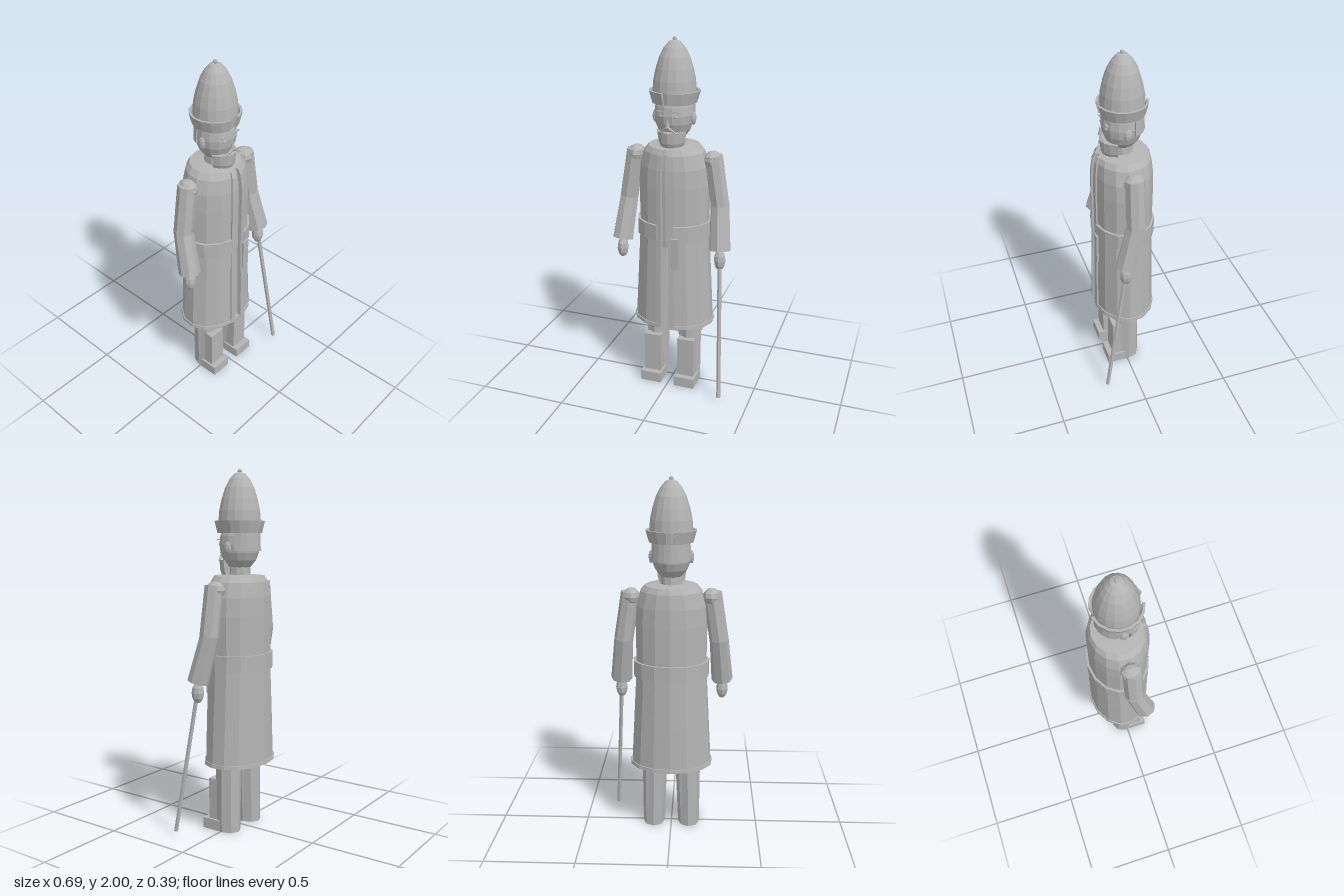
import * as THREE from 'three';

const grey = new THREE.MeshStandardMaterial({ color: 0xb4b4b4, flatShading: true, side: THREE.DoubleSide });
grey.name = 'plain grey';
const CZ = -0.017; // depth of the body's axis

// Solid curved shell: rows of [y, rx, rz] from the bottom up, swept from angle a0 to a1 (0 = front, + = +x)
function shell(rows, t, a0, a1, n) {
  const p = [];
  const at = (i, j, d) => {
    const a = a0 + (a1 - a0) * j / n, [y, rx, rz] = rows[i];
    return [(rx - d) * Math.sin(a), y, CZ + (rz - d) * Math.cos(a)];
  };
  const quad = (a, b, c, d) => p.push(...a, ...b, ...c, ...a, ...c, ...d);
  const top = rows.length - 1;
  for (let j = 0; j < n; j++) {
    for (let i = 0; i < top; i++) {
      quad(at(i, j, 0), at(i, j + 1, 0), at(i + 1, j + 1, 0), at(i + 1, j, 0));
      quad(at(i, j + 1, t), at(i, j, t), at(i + 1, j, t), at(i + 1, j + 1, t));
    }
    quad(at(0, j, t), at(0, j + 1, t), at(0, j + 1, 0), at(0, j, 0));
    quad(at(top, j, 0), at(top, j + 1, 0), at(top, j + 1, t), at(top, j, t));
  }
  for (let i = 0; i < top; i++) {
    quad(at(i, 0, t), at(i, 0, 0), at(i + 1, 0, 0), at(i + 1, 0, t));
    quad(at(i, n, 0), at(i, n, t), at(i + 1, n, t), at(i + 1, n, 0));
  }
  const g = new THREE.BufferGeometry();
  g.setAttribute('position', new THREE.Float32BufferAttribute(p, 3));
  g.computeVertexNormals();
  return g;
}

const grow = (rows, d) => rows.map(([y, rx, rz]) => [y, rx + d, rz + d]);

// Tapered rod between two points
function rod(a, b, ra, rb, sides) {
  const from = new THREE.Vector3(...a), to = new THREE.Vector3(...b);
  const dir = to.clone().sub(from);
  const g = new THREE.CylinderGeometry(rb, ra, dir.length(), sides);
  g.applyQuaternion(new THREE.Quaternion().setFromUnitVectors(new THREE.Vector3(0, 1, 0), dir.normalize()));
  const m = from.add(to).multiplyScalar(0.5);
  return g.translate(m.x, m.y, m.z);
}

function ball(x, y, z, rx, ry, rz, w = 8, h = 6) {
  return new THREE.SphereGeometry(1, w, h).scale(rx, ry, rz).translate(x, y, z);
}

const box = (w, h, d, x, y, z) => new THREE.BoxGeometry(w, h, d).translate(x, y, z);

export function createModel() {
  const model = new THREE.Group();
  model.name = 'figure';
  const add = (name, geometry, parent = model) => {
    const mesh = new THREE.Mesh(geometry, grey);
    mesh.name = name;
    parent.add(mesh);
    return mesh;
  };
  const GAP = 0.15, END = Math.PI * 2 - GAP;

  // Long open coat with hem, plackets and belt
  const coat = [
    [0.4, 0.229, 0.172], [0.65, 0.215, 0.169], [0.92, 0.2, 0.162], [1.0, 0.198, 0.162],
    [1.22, 0.2, 0.163], [1.32, 0.192, 0.161], [1.4, 0.168, 0.152], [1.43, 0.142, 0.138],
  ];
  add('coat', shell(coat, 0.012, GAP, END, 14));
  add('coatHem', shell([[0.39, 0.236, 0.18], [0.41, 0.234, 0.178]], 0.018, GAP, END, 14));
  add('belt', shell([[0.92, 0.212, 0.174], [1.01, 0.212, 0.174]], 0.016, GAP + 0.08, END - 0.08, 14));
  add('beltTail', box(0.042, 0.18, 0.012, 0.058, 0.855, 0.152));
  for (const s of [1, -1]) {
    const [a, b] = s > 0 ? [0.1, 0.24] : [-0.24, -0.1];
    add('placket', shell(grow(coat, 0.007), 0.022, a, b, 1));
  }

  // Body beneath the coat, closed at the shoulders
  const body = [[0.87, 0.0, 0.0], [0.88, 0.19, 0.15], ...grow(coat.slice(2), -0.01),
    [1.435, 0.09, 0.09], [1.44, 0.0, 0.0]];
  add('body', shell(body, 0, 0, Math.PI * 2, 16));

  // Neck, head and face
  add('neck', new THREE.CylinderGeometry(0.055, 0.062, 0.12, 10).translate(0, 1.47, CZ));
  add('head', ball(0, 1.6, CZ, 0.108, 0.145, 0.112, 14, 10));
  add('hair', shell([[1.565, 0.112, 0.117], [1.66, 0.108, 0.113]], 0.02, 1.9, Math.PI * 2 - 1.9, 8));
  add('beard', shell([[1.425, 0.07, 0.105], [1.455, 0.082, 0.118], [1.515, 0.09, 0.122]], 0.05, -1.15, 1.15, 6));
  add('nose', new THREE.ConeGeometry(0.014, 0.05, 4).translate(0, 1.575, 0.102));
  for (const s of [1, -1]) {
    add('ear', ball(s * 0.108, 1.58, CZ + 0.004, 0.014, 0.036, 0.023));
    add('eye', ball(s * 0.04, 1.6, 0.083, 0.014, 0.007, 0.008));
    add('eyebrow', box(0.042, 0.007, 0.012, s * 0.043, 1.625, 0.083));
    add('moustache', rod([0, 1.545, 0.1], [s * 0.046, 1.512, 0.088], 0.011, 0.004, 5));
  }

  // Tall domed hat with a split, flared brim and a small finial
  const dome = [[0, 1.66], [0.11, 1.66], [0.117, 1.72], [0.112, 1.78], [0.099, 1.84], [0.08, 1.9],
    [0.056, 1.945], [0.03, 1.975], [0, 1.985]].map(([x, y]) => new THREE.Vector2(x, y));
  add('hatDome', new THREE.LatheGeometry(dome, 16).translate(0, 0, CZ));
  add('hatFinial', ball(0, 1.987, CZ, 0.012, 0.013, 0.012, 6, 4));
  for (const s of [1, -1]) {
    const [a, b] = s > 0 ? [0.2, Math.PI - 0.17] : [Math.PI + 0.17, Math.PI * 2 - 0.2];
    add('hatBrim', shell([[1.66, 0.12, 0.122], [1.725, 0.139, 0.136]], 0.013, a, b, 7));
  }

  for (const s of [1, -1]) {
    const side = s > 0 ? 'left' : 'right';

    // Arm: sleeve in two lengths, rounded shoulder, hand
    const arm = new THREE.Group();
    arm.name = side + 'Arm';
    model.add(arm);
    const elbow = [s * 0.265, 1.11, -0.006];
    add('shoulder', ball(s * 0.218, 1.363, -0.012, 0.048, 0.048, 0.06), arm);
    add('upperSleeve', rod(elbow, [s * 0.222, 1.385, -0.01], 0.053, 0.052, 8), arm);
    add('lowerSleeve', rod([s * 0.286, 0.872, 0.053], [s * 0.263, 1.13, -0.011], 0.06, 0.052, 8), arm);
    add('hand', ball(s * 0.287, 0.815, 0.055, 0.033, 0.058, 0.035), arm);

    // Leg with shin guard and toe
    const leg = new THREE.Group();
    leg.name = side + 'Leg';
    model.add(leg);
    const shaft = rod([0, 0, 0], [0, 0.9, 0], 0.062, 0.062, 8);
    const pos = shaft.attributes.position;
    for (let i = 0; i < pos.count; i++) {
      const k = pos.getY(i) / 0.9; // hips are set closer and wider than the feet
      pos.setX(i, pos.getX(i) * (1 + 0.35 * k) + s * (0.102 - 0.016 * k));
      pos.setZ(i, pos.getZ(i) * (1.2 - 0.1 * k) - 0.01);
    }
    shaft.computeVertexNormals();
    add('legShaft', shaft, leg);
    add('shinGuard', box(0.1, 0.235, 0.07, s * 0.1, 0.178, 0.053), leg);
    add('toe', box(0.122, 0.06, 0.11, s * 0.102, 0.03, 0.066), leg);
  }

  // Cane held in the left hand
  add('cane', rod([0.333, 0.02, 0.182], [0.287, 0.83, 0.056], 0.012, 0.012, 6));

  return model;
}
